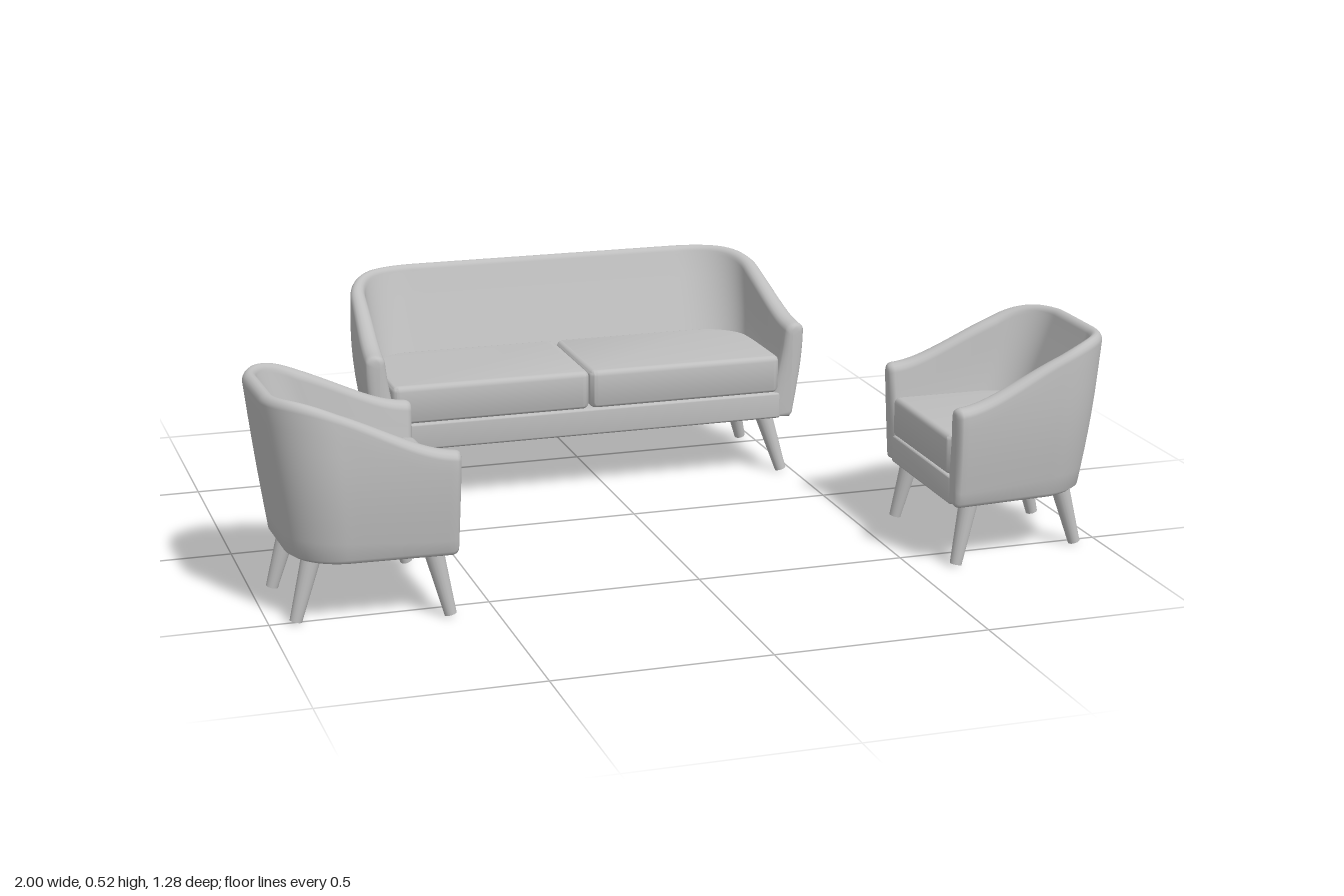
import * as THREE from 'three';
import { toCreasedNormals } from 'three/addons/utils/BufferGeometryUtils.js';

const fabric = new THREE.MeshStandardMaterial({ color: 0xbfbfbf });
fabric.name = 'light grey';

const FLOOR = 0.145, TOP = 0.52;
const lerp = THREE.MathUtils.lerp;

function addMesh(parent, name, geometry) {
  const mesh = new THREE.Mesh(geometry, fabric);
  mesh.name = name;
  parent.add(mesh);
  return mesh;
}

// Half of a U-shaped plan: s = 0 at the arm front, s = 1 at the middle of the back
function planPoint(s, hw, zf, zb, rx, rz, taper) {
  const x1 = hw - taper;
  if (s < 0.35) return [hw - taper * s / 0.35, lerp(zf, zb + rz, s / 0.35)];
  if (s < 0.75) {
    const a = (s - 0.35) / 0.4 * Math.PI / 2;
    return [x1 - rx + rx * Math.cos(a), zb + rz - rz * Math.sin(a)];
  }
  return [(x1 - rx) * (1 - (s - 0.75) / 0.25), zb];
}

// Outer and inner faces of the wrap-around wall at height y
function wallPoint(p, s, y, inner) {
  const t = (y - FLOOR) / (TOP - FLOOR);
  const bulge = Math.sin(Math.min(1, t / 0.62) * Math.PI / 2) - 0.5 * Math.max(0, t - 0.68);
  const hw = p.hw - p.flare * (1 - bulge);
  const zf = lerp(-0.026, -0.014, t), zb = -p.depth + 0.05 * (1 - t);
  const grow = lerp(0.85, 1, t), cut = inner ? 0.05 : 0;
  return planPoint(s, hw - (inner ? lerp(0.07, 0.035, t) : 0), zf,
    zb + (inner ? lerp(0.125, 0.03, t) : 0), p.rx * grow - cut, p.rz * grow - cut, p.taper);
}

// Closed wall section: up the outside, over the rounded rim, down the inside
function wallSection(p, s, sign) {
  const z = wallPoint(p, s, TOP, false)[1];
  const h = lerp(p.armHeight, TOP, THREE.MathUtils.smoothstep(-z / p.depth, 0, 0.95));
  const rim = 0.02, yT = h - rim, pts = [];
  const put = (a, y) => pts.push(new THREE.Vector3(sign * a[0], y, a[1]));
  const foot = wallPoint(p, s, FLOOR, false), footIn = wallPoint(p, s, FLOOR, true);
  put([lerp(foot[0], footIn[0], 0.1), lerp(foot[1], footIn[1], 0.1)], FLOOR);
  for (let k = 0; k <= 8; k++) {
    const y = lerp(FLOOR + 0.01, yT, k / 8);
    put(wallPoint(p, s, y, false), y);
  }
  const o = wallPoint(p, s, yT, false), n = wallPoint(p, s, yT, true);
  for (let k = 1; k < 8; k++) {
    const a = k / 8 * Math.PI, f = (1 - Math.cos(a)) / 2;
    put([lerp(o[0], n[0], f), lerp(o[1], n[1], f)], yT + rim * Math.sin(a));
  }
  for (let k = 0; k <= 6; k++) {
    const y = lerp(yT, FLOOR + 0.004, k / 6);
    put(wallPoint(p, s, y, true), y);
  }
  return pts;
}

// Padded arm front: sections narrowing towards their centre line
function armFront(section) {
  const cx = section.reduce((sum, v) => sum + v.x, 0) / section.length;
  const cy = (FLOOR + section[12].y) / 2;
  return [[1, 0.014], [0.6, 0.013], [0.3, 0.01], [0.1, 0.005]].map(([f, dz]) =>
    section.map(v => new THREE.Vector3(lerp(v.x, cx, f), lerp(v.y, cy, f * 0.12), v.z + dz)));
}

function wallGeometry(p) {
  const N = 48, rows = [];
  for (let i = 0; i <= 2 * N; i++) {
    rows.push(wallSection(p, i <= N ? i / N : 2 - i / N, i <= N ? 1 : -1));
  }
  const first = armFront(rows[0]), last = armFront(rows[2 * N]).reverse();
  const all = [...first, ...rows, ...last], m = rows[0].length, index = [];
  for (let i = 0; i < all.length - 1; i++) {
    for (let j = 0; j < m; j++) {
      const k = (j + 1) % m, a = i * m + j, b = a + m, c = (i + 1) * m + k, d = i * m + k;
      index.push(a, b, d, b, c, d);
    }
  }
  const g = new THREE.BufferGeometry().setFromPoints(all.flat());
  g.setIndex(index);
  g.computeVertexNormals();
  return g;
}

// Upholstered slab with rounded back corners and a soft edge
function slab(x0, x1, zf, zb, r0, r1, y0, y1, bevel) {
  const l = x0 + bevel, r = x1 - bevel, f = -zf + bevel, b = -zb - bevel, c = 0.006;
  const s = new THREE.Shape();
  s.moveTo(l + c, f);
  s.lineTo(r - c, f);
  s.quadraticCurveTo(r, f, r, f + c);
  s.lineTo(r, b - r1);
  s.bezierCurveTo(r, b - r1 * 0.45, r - r1 * 0.55, b, r - r1, b);
  s.lineTo(l + r0, b);
  s.bezierCurveTo(l + r0 * 0.45, b, l, b - r0 * 0.45, l, b - r0);
  s.lineTo(l, f + c);
  s.quadraticCurveTo(l, f, l + c, f);
  const g = new THREE.ExtrudeGeometry(s, {
    depth: y1 - y0 - 2 * bevel, bevelEnabled: true, bevelSize: bevel,
    bevelThickness: bevel, bevelSegments: 4, curveSegments: 10,
  });
  g.rotateX(-Math.PI / 2);
  g.translate(0, y0 + bevel, 0);
  return toCreasedNormals(g, 0.7);
}

// Tapered leg from the floor up into the frame
function addLeg(parent, name, foot, head) {
  const dir = head.clone().sub(foot);
  const leg = addMesh(parent, name, new THREE.CylinderGeometry(0.023, 0.014, dir.length(), 18));
  leg.position.copy(foot).add(head).multiplyScalar(0.5);
  leg.quaternion.setFromUnitVectors(new THREE.Vector3(0, 1, 0), dir.normalize());
}

// One seat facing +z, with the middle of its front at the origin
function makeSeat(name, p) {
  const g = new THREE.Group();
  g.name = name;
  addMesh(g, 'backAndArms', wallGeometry(p));
  const bw = p.hw - p.flare - 0.03;
  addMesh(g, 'seatBase', slab(-bw, bw, -0.012, -p.depth + 0.075, p.rx * 0.8, p.rx * 0.8, FLOOR + 0.001, 0.214, 0.006));
  const w = p.cushionHalf, zb = -p.depth + 0.108, r = p.cushionCorner;
  if (p.cushions === 2) {
    addMesh(g, 'leftCushion', slab(0.001, w, -0.008, zb, 0.012, r, 0.215, 0.312, 0.014));
    addMesh(g, 'rightCushion', slab(-w, -0.001, -0.008, zb, r, 0.012, 0.215, 0.312, 0.014));
  } else {
    addMesh(g, 'seatCushion', slab(-w, w, -0.008, zb, r, r, 0.215, 0.312, 0.014));
  }
  for (const side of [1, -1]) {
    for (const [label, leg] of [['front', p.frontLeg], ['back', p.backLeg]]) {
      const [fx, fz, hx, hz] = leg;
      addLeg(g, label + (side > 0 ? 'LeftLeg' : 'RightLeg'),
        new THREE.Vector3(side * fx, 0.002, fz), new THREE.Vector3(side * hx, 0.16, hz));
    }
  }
  return g;
}

export function createModel() {
  const model = new THREE.Group();
  model.name = 'loungeSet';

  const sofa = makeSeat('sofa', {
    hw: 0.57, flare: 0.028, depth: 0.45, rx: 0.2, rz: 0.17, taper: 0.02, armHeight: 0.395,
    cushions: 2, cushionHalf: 0.505, cushionCorner: 0.1,
    frontLeg: [0.52, -0.035, 0.475, -0.06], backLeg: [0.52, -0.35, 0.475, -0.32],
  });
  sofa.position.set(-0.05, 0, -0.195);
  model.add(sofa);

  const chair = {
    hw: 0.234, flare: 0.022, depth: 0.424, rx: 0.14, rz: 0.15, taper: 0.018, armHeight: 0.387,
    cushions: 1, cushionHalf: 0.172, cushionCorner: 0.06,
    frontLeg: [0.188, -0.03, 0.175, -0.065], backLeg: [0.12, -0.365, 0.112, -0.32],
  };
  const leftward = makeSeat('armchairFacingLeft', chair);
  leftward.position.set(-0.581, 0, 0.37);
  leftward.rotation.y = Math.PI / 2 + 0.04;
  const rightward = makeSeat('armchairFacingRight', chair);
  rightward.position.set(0.574, 0, 0.402);
  rightward.rotation.y = -Math.PI / 2 - 0.01;
  model.add(leftward, rightward);
  return model;
}
